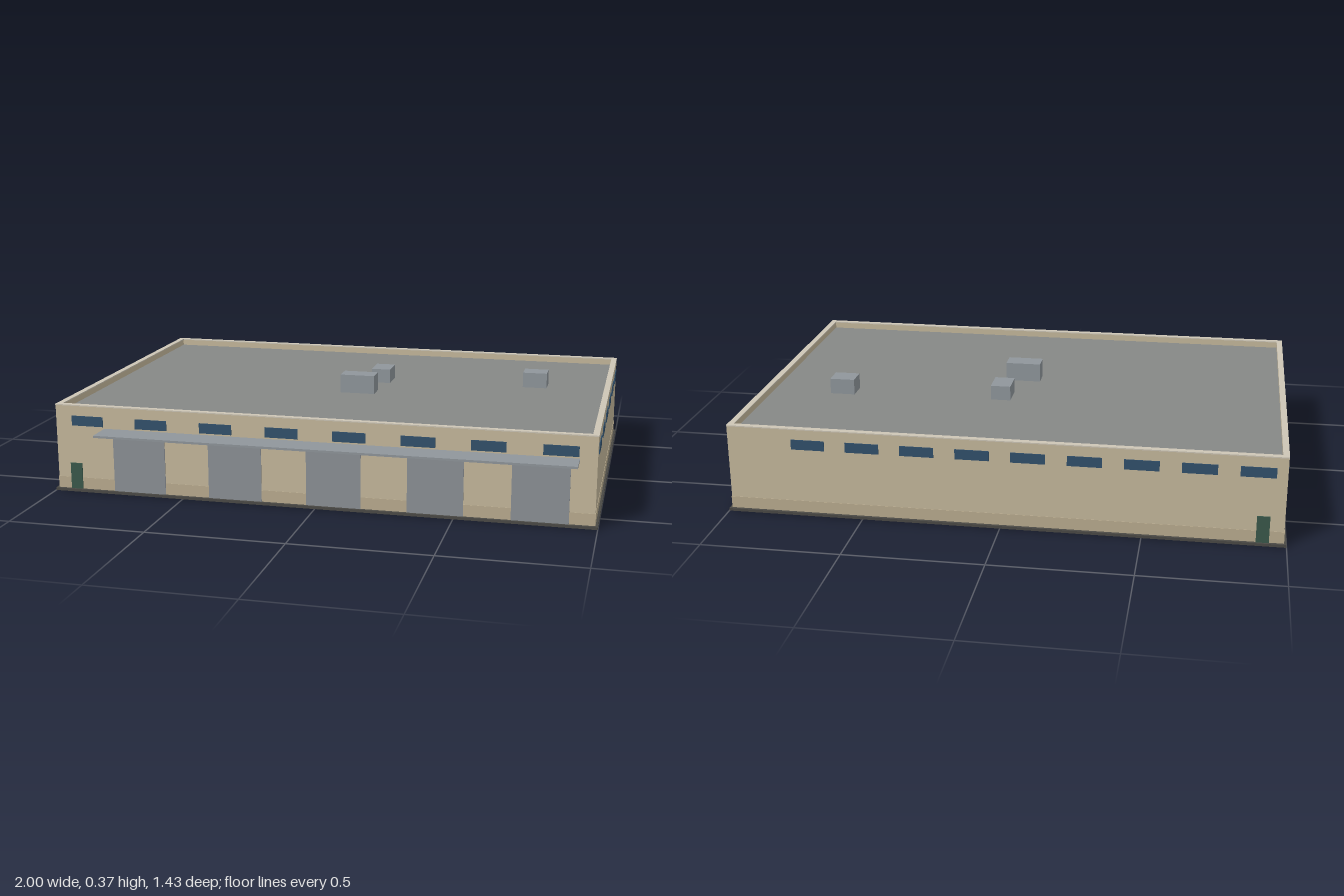
import * as THREE from 'three';

const W = 1.98, D = 1.318, CZ = -0.046, BASE = 0.01, TOP = 0.33, ROOF = 0.303;
const mat = (color) => new THREE.MeshStandardMaterial({ color });
const mats = {
  wall: mat(0xc5b89c), plinth: mat(0xbaac8f), slab: mat(0x4a4945), roof: mat(0x868886),
  coping: mat(0xcdc6b6), metal: mat(0x8f969b), shutter: mat(0x8c9196),
  glass: mat(0x31506b), door: mat(0x39584a),
};

// Box given by its minimum and maximum on each axis
function box(parent, name, material, [x0, x1], [y0, y1], [z0, z1]) {
  const mesh = new THREE.Mesh(new THREE.BoxGeometry(x1 - x0, y1 - y0, z1 - z0), material);
  mesh.position.set((x0 + x1) / 2, (y0 + y1) / 2, (z0 + z1) / 2);
  mesh.name = name;
  parent.add(mesh);
  return mesh;
}

// Rectangular ring, extruded upward from y0 to y1
function ring(parent, name, material, w, d, t, y0, y1) {
  const rect = (S, a, b) => new S([[-a, -b], [a, -b], [a, b], [-a, b]].map(([x, y]) => new THREE.Vector2(x, y)));
  const shape = rect(THREE.Shape, w / 2, d / 2);
  shape.holes.push(rect(THREE.Path, w / 2 - t, d / 2 - t));
  const geometry = new THREE.ExtrudeGeometry(shape, { depth: y1 - y0, bevelEnabled: false });
  geometry.rotateX(-Math.PI / 2);
  const mesh = new THREE.Mesh(geometry, material);
  mesh.position.set(0, y0, CZ);
  mesh.name = name;
  parent.add(mesh);
}

// A wall face as a local frame: x runs along the wall, +z points outward
function face(parent, name, angle, distance) {
  const outer = new THREE.Group();
  outer.name = name;
  outer.position.set(Math.sin(angle) * distance, 0, CZ + Math.cos(angle) * distance);
  outer.rotation.y = angle;
  parent.add(outer);
  return outer;
}

function panel(parent, name, material, x, width, y0, y1, proud = 0.003) {
  box(parent, name, material, [x - width / 2, x + width / 2], [y0, y1], [-0.004, proud]);
}

function windows(parent, length, count, skip = -1) {
  for (let i = 0; i < count; i++) {
    if (i === skip) continue;
    panel(parent, 'window', mats.glass, (i + 0.5 - count / 2) * length / count, 0.122, 0.252, 0.289);
  }
}

export function createModel() {
  const model = new THREE.Group();
  model.name = 'warehouse';
  const zs = [CZ - D / 2, CZ + D / 2];

  // Ground slab, walls, plinth, roof deck and parapet
  box(model, 'groundSlab', mats.slab, [-1, 1], [0, BASE], [zs[0] - 0.012, zs[1] + 0.012]);
  ring(model, 'walls', mats.wall, W, D, 0.02, BASE, TOP - 0.004);
  ring(model, 'plinth', mats.plinth, W + 0.003, D + 0.003, 0.01, BASE, 0.053);
  ring(model, 'parapetCoping', mats.coping, W + 0.002, D + 0.002, 0.022, TOP - 0.004, TOP);
  box(model, 'roofDeck', mats.roof, [-0.972, 0.972], [ROOF - 0.02, ROOF], [zs[0] + 0.018, zs[1] - 0.018]);

  // Front: windows, loading bays and a personnel door
  const front = face(model, 'frontFace', 0, D / 2);
  windows(front, W, 8);
  for (let i = 0; i < 5; i++) panel(front, 'loadingDoor', mats.shutter, 0.067 + (i - 2) * 0.367, 0.2, BASE, 0.215, 0.004);
  panel(front, 'frontDoor', mats.door, -0.917, 0.045, BASE, 0.108, 0.005);

  // Back: one window slot is blank at the +x end
  const back = face(model, 'backFace', Math.PI, D / 2);
  windows(back, W, 10, 0);
  panel(back, 'backDoor', mats.door, 0.917, 0.045, BASE, 0.108, 0.005);

  // Sides
  for (const side of [1, -1]) {
    windows(face(model, side > 0 ? 'leftFace' : 'rightFace', side * Math.PI / 2, W / 2), D, 6);
  }

  // Canopy over the loading bays
  box(model, 'canopy', mats.metal, [-0.8, 0.93], [0.238, 0.246], [zs[1] - 0.003, 0.715]);

  // Rooftop units
  box(model, 'roofUnit', mats.metal, [-0.037, 0.097], [ROOF, 0.374], [0.007, 0.08]);
  box(model, 'roofUnit', mats.metal, [0.043, 0.118], [ROOF, 0.358], [-0.225, -0.123]);
  box(model, 'roofUnit', mats.metal, [0.647, 0.741], [ROOF, 0.362], [-0.25, -0.172]);

  return model;
}
